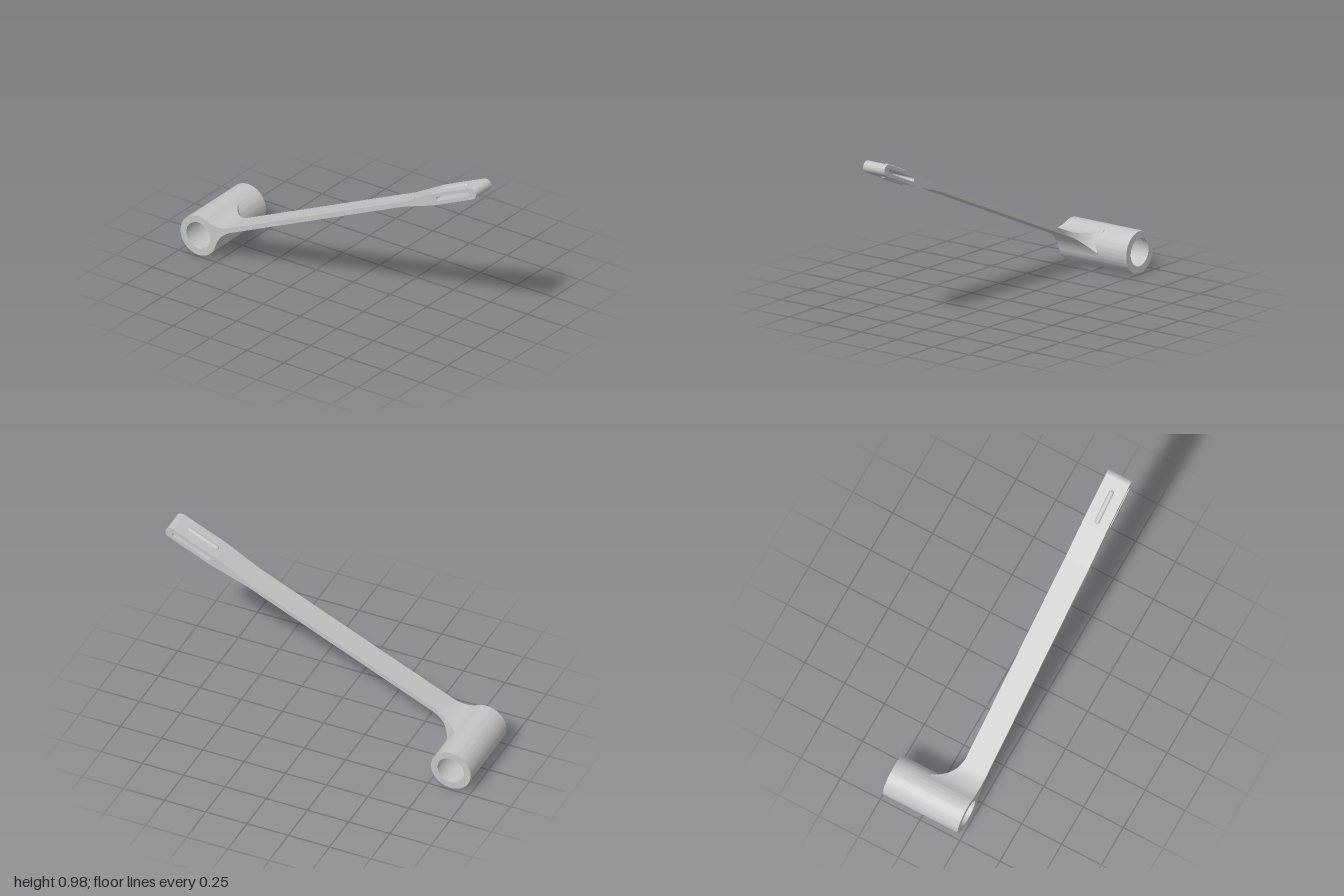
import * as THREE from 'three';
import { toCreasedNormals } from 'three/addons/utils/BufferGeometryUtils.js';

// Local frame: x runs along the arm from the tube centre, y across its thickness, z to the model's right.
const TILT = Math.atan(0.445);
const TUBE_R = 0.12, HALF_LEN = 0.235;
const THIN = 0.014, THICK = 0.033, TIP = 2.022;
const FIL_R = 0.18, FIL_X = 0.23, FIL_Y = THIN + FIL_R;

// Half thickness of the blend between tube and arm
const halfThickness = (u) =>
  u >= FIL_X ? THIN : FIL_Y - Math.sqrt(FIL_R ** 2 - (u - FIL_X) ** 2);

// Grid surface from a rule fn(s, t) -> [x, y, z]
function surface(ns, nt, fn) {
  const pos = [], idx = [];
  for (let i = 0; i <= ns; i++)
    for (let j = 0; j <= nt; j++) pos.push(...fn(i / ns, j / nt));
  for (let i = 0; i < ns; i++)
    for (let j = 0; j < nt; j++) {
      const a = i * (nt + 1) + j, b = a + nt + 1;
      idx.push(a, b, a + 1, b, b + 1, a + 1);
    }
  const g = new THREE.BufferGeometry();
  g.setAttribute('position', new THREE.Float32BufferAttribute(pos, 3));
  g.setIndex(idx);
  g.computeVertexNormals();
  return g;
}

export function createModel() {
  const model = new THREE.Group();
  model.name = 'leverArm';
  const metal = new THREE.MeshStandardMaterial({ color: 0xc4c4c4, side: THREE.DoubleSide });
  metal.name = 'light grey metal';

  const lever = new THREE.Group();
  lever.name = 'lever';
  const s = Math.sin(TILT), c = Math.cos(TILT);
  lever.quaternion.setFromRotationMatrix(new THREE.Matrix4().makeBasis(
    new THREE.Vector3(0, s, c), new THREE.Vector3(0, c, -s), new THREE.Vector3(-1, 0, 0)));
  lever.position.set(0, TUBE_R, -0.88);
  model.add(lever);

  const add = (name, geo, parent = lever) => {
    const m = new THREE.Mesh(geo, metal);
    m.name = name;
    parent.add(m);
    return m;
  };

  // Pivot tube with a narrower lip at each end of the bore
  const lip = HALF_LEN - 0.03;
  const profile = [
    [TUBE_R, -HALF_LEN], [TUBE_R, HALF_LEN], [0.08, HALF_LEN], [0.08, lip],
    [0.09, lip], [0.09, -lip], [0.08, -lip], [0.08, -HALF_LEN], [TUBE_R, -HALF_LEN],
  ].map(([x, y]) => new THREE.Vector2(x, y));
  const tube = new THREE.LatheGeometry(profile, 96);
  tube.rotateX(Math.PI / 2);
  add('pivotTube', toCreasedNormals(tube, 0.5));

  // Arm side profile: blend, thin blade, taper and rounded head with a slot
  const a = Math.atan2(FIL_Y, -FIL_X);
  const side = new THREE.Shape();
  side.absarc(FIL_X, -FIL_Y, FIL_R, a, Math.PI / 2, true);
  side.lineTo(1.51, -THIN);
  side.lineTo(1.73, -THICK);
  side.absarc(TIP, 0, THICK, -Math.PI / 2, Math.PI / 2, false);
  side.lineTo(1.73, THICK);
  side.lineTo(1.51, THIN);
  side.absarc(FIL_X, FIL_Y, FIL_R, -Math.PI / 2, -a, true);
  side.closePath();
  const slot = new THREE.Path();
  slot.absarc(2.0, 0, 0.012, -Math.PI / 2, Math.PI / 2, false);
  slot.absarc(1.775, 0, 0.012, Math.PI / 2, Math.PI * 1.5, false);
  slot.closePath();
  side.holes.push(slot);
  const W0 = 0.088;
  const arm = new THREE.ExtrudeGeometry(side, {
    depth: HALF_LEN - W0, bevelEnabled: false, curveSegments: 32,
  });
  arm.translate(0, 0, W0);
  add('arm', toCreasedNormals(arm, 0.075));

  // Rounded ribs above and below the slotted head
  for (const sign of [1, -1]) {
    const rib = new THREE.CapsuleGeometry(0.015, 0.175, 8, 20);
    rib.rotateZ(Math.PI / 2);
    const m = add(sign > 0 ? 'upperRib' : 'lowerRib', rib);
    m.position.set(1.857, sign * 0.029, (W0 + HALF_LEN) / 2);
  }

  // Gusset that flares from the arm's edge along the tube
  const gusset = new THREE.Group();
  gusset.name = 'gusset';
  lever.add(gusset);
  const U_IN = 0.092, U0 = 0.28, FLARE = 0.18, REACH = 0.125;
  const edge = (t) => U0 - Math.sqrt(FLARE ** 2 - (FLARE - REACH * t) ** 2);
  const along = (t, k) => U_IN + (edge(t) - U_IN) * k;
  // square the parameter so the tight start of the flare gets more steps
  const face = (sign) => surface(24, 20, (p, k) => {
    const t = p * p, u = along(t, k);
    return [u, sign * halfThickness(u), W0 - REACH * t];
  });
  add('gussetTop', face(1), gusset);
  add('gussetBottom', face(-1), gusset);
  add('gussetEdge', surface(24, 1, (p, k) => {
    const t = p * p, u = edge(t);
    return [u, (2 * k - 1) * halfThickness(u), W0 - REACH * t];
  }), gusset);
  add('gussetEnd', surface(4, 1, (q, k) => {
    const u = along(1, q);
    return [u, (2 * k - 1) * halfThickness(u), W0 - REACH];
  }), gusset);

  return model;
}
